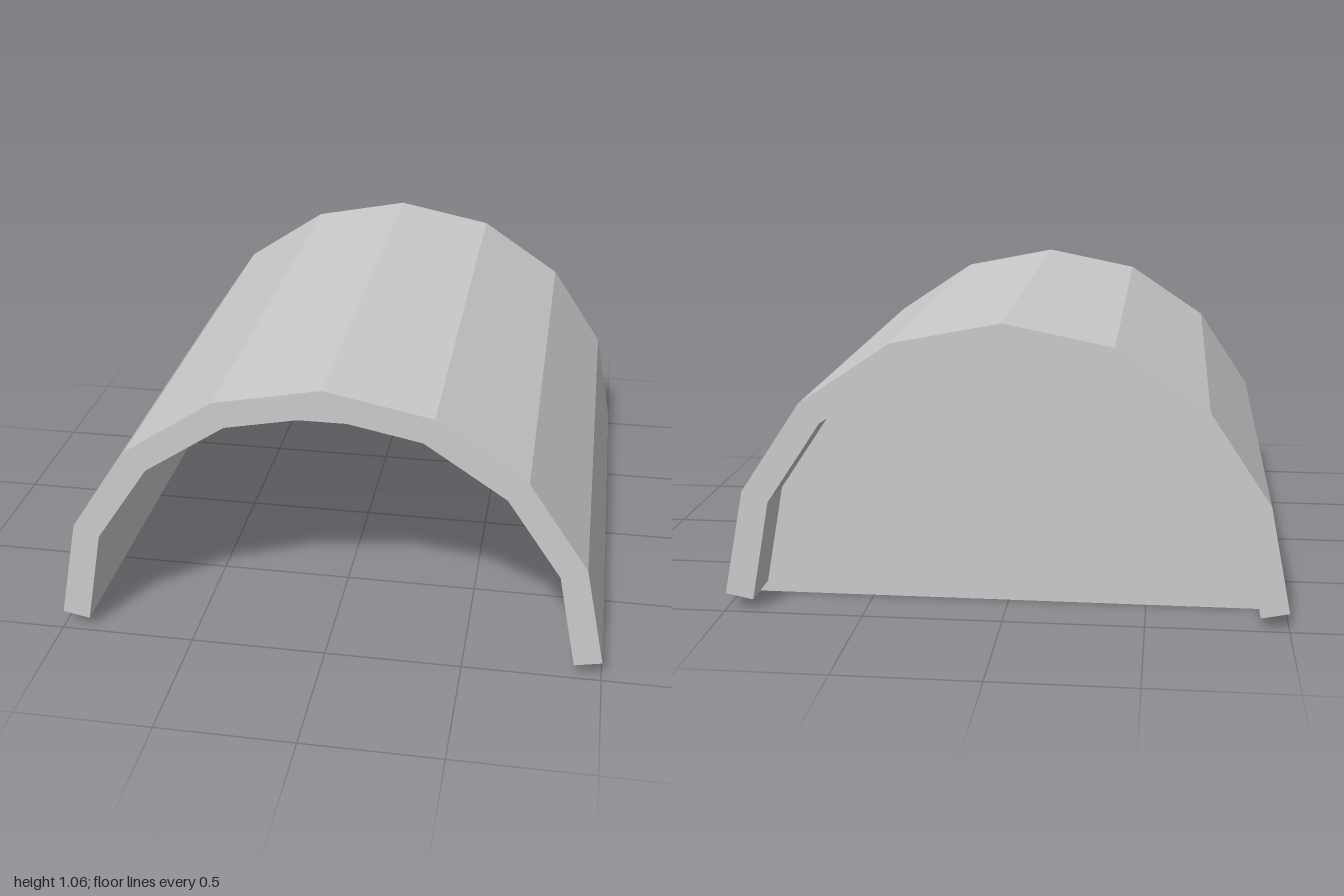
import * as THREE from 'three';

const SEGMENTS = 8;
const BASE = 0.06; // height of the arch centre
const HALF_LENGTH = 0.98;

// Points of a half circle from +x over the top to -x
function arc(radius, centerY) {
  const points = [];
  for (let i = 0; i <= SEGMENTS; i++) {
    const a = (i / SEGMENTS) * Math.PI;
    points.push(new THREE.Vector2(Math.cos(a) * radius, centerY + Math.sin(a) * radius));
  }
  return points;
}

export function createModel() {
  const group = new THREE.Group();
  group.name = 'archedShelter';

  // Faceted barrel roof, with feet cut square to the lowest facets
  const inner = arc(0.9, BASE);
  inner[0].y = inner[SEGMENTS].y = 0.04;
  const profile = new THREE.Shape([...arc(1, BASE), ...inner.reverse()]);
  const roofGeometry = new THREE.ExtrudeGeometry(profile, { depth: 2 * HALF_LENGTH, bevelEnabled: false });
  roofGeometry.translate(0, 0, -HALF_LENGTH);
  const roof = new THREE.Mesh(
    roofGeometry,
    new THREE.MeshStandardMaterial({ color: 0xcccccc, flatShading: true })
  );
  roof.name = 'archedRoof';
  group.add(roof);

  // Thin half-round wall set in from the back end
  const wall = new THREE.Mesh(
    new THREE.ShapeGeometry(new THREE.Shape(arc(1, 0))),
    new THREE.MeshStandardMaterial({ color: 0xcccccc, flatShading: true, side: THREE.DoubleSide })
  );
  wall.name = 'backWall';
  wall.position.z = -0.79;
  group.add(wall);

  return group;
}
